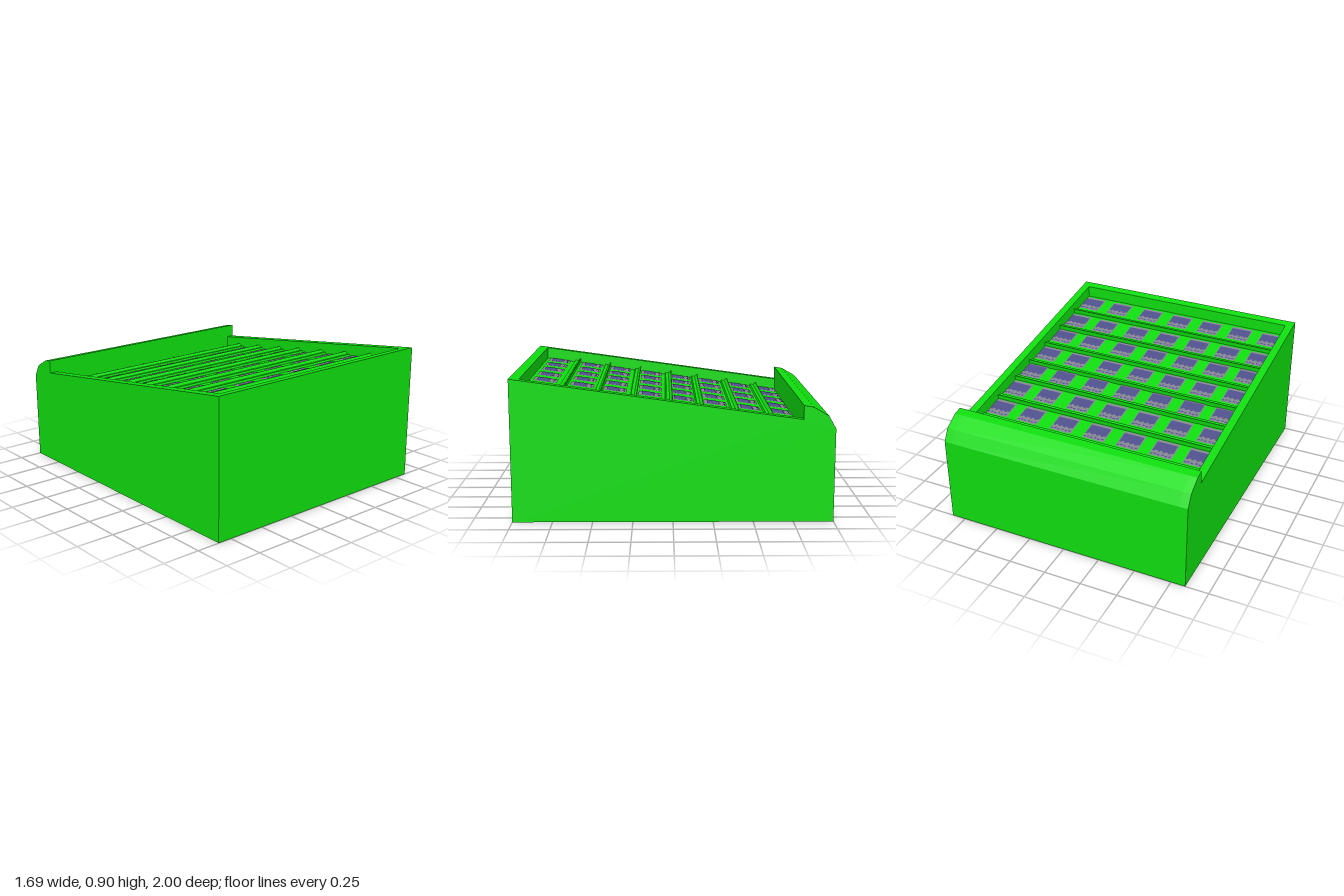
import * as THREE from 'three';

const SLOPE = 0.14;
const INNER = 0.79, OUTER = 0.845;
const rimY = (z) => 0.9 - SLOPE * (1 - z);
const floorY = (z) => rimY(z) - 0.08;

const mat = (name, color, side = THREE.FrontSide) => {
  const m = new THREE.MeshStandardMaterial({ color, side });
  m.name = name;
  return m;
};

const polygon = (points) => new THREE.Shape(points.map(([a, b]) => new THREE.Vector2(a, b)));

// Extrudes a (z, y) profile across the width, centred on x = 0
function acrossWidth(points, width) {
  const g = new THREE.ExtrudeGeometry(polygon(points), { depth: width, bevelEnabled: false });
  g.translate(0, 0, -width / 2);
  g.rotateY(-Math.PI / 2);
  return g;
}

// Flat shape lying face up
function flat(shape) {
  return new THREE.ShapeGeometry(shape).rotateX(-Math.PI / 2);
}

function rect(x0, y0, x1, y1) {
  return polygon([[x0, y0], [x1, y0], [x1, y1], [x0, y1]]);
}

export function createModel() {
  const model = new THREE.Group();
  model.name = 'slopedDisplayTray';
  const green = mat('green', 0x0fdc0f);
  const grey = mat('grey', 0x858592, THREE.DoubleSide);
  const blue = mat('blue', 0x50508c, THREE.DoubleSide);

  const add = (parent, name, geometry, material) => {
    const mesh = new THREE.Mesh(geometry, material);
    mesh.name = name;
    parent.add(mesh);
    return mesh;
  };

  // Body: recessed sloping floor between two side walls, with a rounded lip at the back
  const lip = [[-0.8, 0.735], [-0.86, 0.725], [-0.955, 0.67], [-1, 0.59], [-1, 0]];
  const core = [[1, 0], [1, 0.9], [0.94, rimY(0.94)], [0.94, floorY(0.94)], [-0.8, floorY(-0.8)], ...lip];
  const wall = [[1, 0], [1, 0.9], [-0.8, rimY(-0.8)], ...lip];
  add(model, 'body', acrossWidth(core, INNER * 2), green);
  for (const s of [-1, 1]) {
    const side = add(model, s > 0 ? 'leftWall' : 'rightWall', acrossWidth(wall, OUTER - INNER), green);
    side.position.x = s * (OUTER + INNER) / 2;
  }

  // Stepped rails between the rows
  const railGeo = acrossWidth(
    [[-0.027, -0.01], [-0.027, 0.032], [-0.022, 0.032], [-0.008, 0.014], [0.014, 0.014], [0.022, -0.01]],
    INNER * 2
  );
  for (const z of [-0.622, -0.4, -0.172, 0.028, 0.258, 0.488, 0.718]) {
    const rail = add(model, 'rail', railGeo, green);
    rail.position.set(0, floorY(z), z);
    rail.rotation.x = -Math.atan(SLOPE);
  }

  // Label card: grey plate, blue field with a combed edge, and a row of small marks
  const plateGeo = flat(rect(-0.077, -0.077, 0.077, 0.077));
  const field = [[-0.071, -0.055], [0.071, -0.055]];
  const teeth = 8, step = 0.142 / teeth;
  for (let i = 0; i < teeth; i++) {
    const x = 0.071 - i * step;
    const top = i % 2 ? 0.024 : 0.034;
    field.push([x, top], [x - step, top]);
  }
  const fieldGeo = flat(polygon(field));
  const marksGeo = flat([-0.06, -0.036, -0.012, 0.018, 0.042, 0.063].map(
    (x, i) => rect(x - 0.008, i % 2 ? 0.056 : 0.051, x + 0.008, i % 2 ? 0.069 : 0.064)
  ));

  // Grid of label cards on the floor
  const columns = [-0.712, -0.483, -0.25, -0.012, 0.228, 0.481, 0.711];
  const rows = [-0.722, -0.512, -0.288, -0.067, 0.147, 0.38, 0.598, 0.842];
  for (const z of rows) {
    for (const x of columns) {
      const card = new THREE.Group();
      card.name = 'labelCard';
      card.position.set(x, floorY(z) + 0.003, z);
      card.rotation.x = -Math.atan(SLOPE);
      add(card, 'cardPlate', plateGeo, grey);
      add(card, 'cardField', fieldGeo, blue).position.y = 0.003;
      add(card, 'cardMarks', marksGeo, blue).position.y = 0.003;
      model.add(card);
    }
  }
  return model;
}
